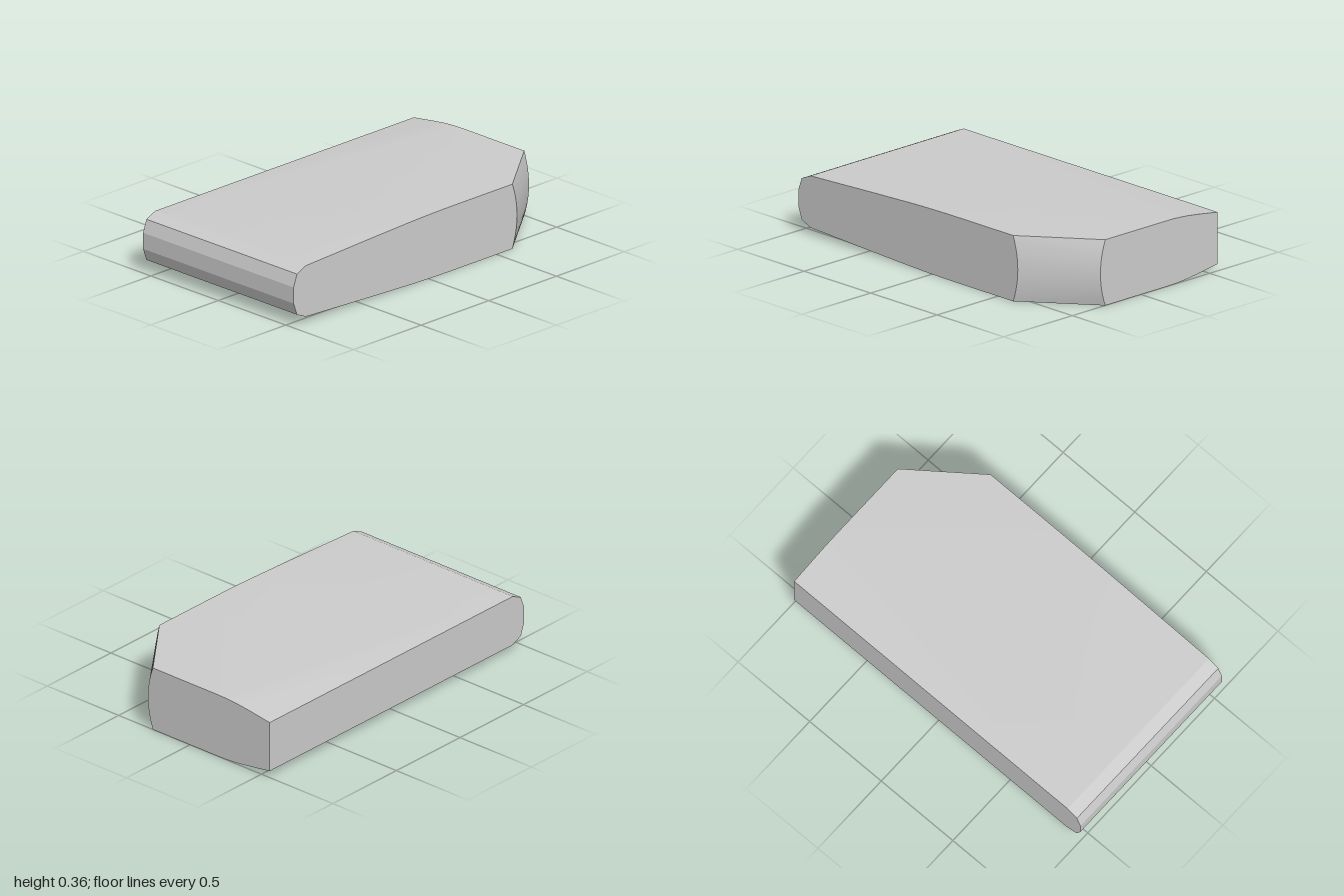
import * as THREE from 'three';
import { ConvexGeometry } from 'three/addons/geometries/ConvexGeometry.js';
import { toCreasedNormals } from 'three/addons/utils/BufferGeometryUtils.js';

const W = 0.558;        // half width
const MID = 0.1815;     // height of the symmetry plane
const HIGH = 0.1815;    // half thickness at the thick corner
const LOW = 0.143;      // half thickness along the thin edges

export function createModel() {
  const points = [];
  // one point above and its mirror below the symmetry plane
  const pair = (x, h, z) => {
    points.push(new THREE.Vector3(x, MID + h, z), new THREE.Vector3(x, MID - h, z));
  };

  // rounded front edge, straight across the width
  for (const [z, h] of [[0.91, LOW], [0.975, 0.114], [1, 0.045]]) {
    pair(-W, h, z);
    pair(W, h, z);
  }

  // thin back corner, reached by a straight side edge
  pair(-W, LOW, -1);

  // swelling side edge
  for (const [z, h] of [[0.45, 0.1635], [0.15, 0.1755], [0.03, 0.179], [-0.1, 0.181], [-0.2, HIGH]]) pair(W, h, z);

  // swelling back edge
  for (const [x, h] of [[-0.42, 0.1635], [-0.34, 0.1735], [-0.29, 0.178], [-0.24, 0.1807], [-0.18, HIGH]]) pair(x, h, -1);

  // cut corner with a bulging face
  const steps = 6;
  for (let i = 0; i <= steps; i++) {
    const t = i / steps;
    const bulge = 0.035 * (1 - t * t);
    pair(0.26 + bulge, HIGH * t, -1);
    pair(W, HIGH * t, -0.615 - bulge);
  }

  const geometry = toCreasedNormals(new ConvexGeometry(points), 0.2);
  const body = new THREE.Mesh(geometry, new THREE.MeshStandardMaterial({ color: 0xcccccc }));
  body.name = 'body';

  const group = new THREE.Group();
  group.name = 'taperedSlab';
  group.add(body);
  return group;
}
